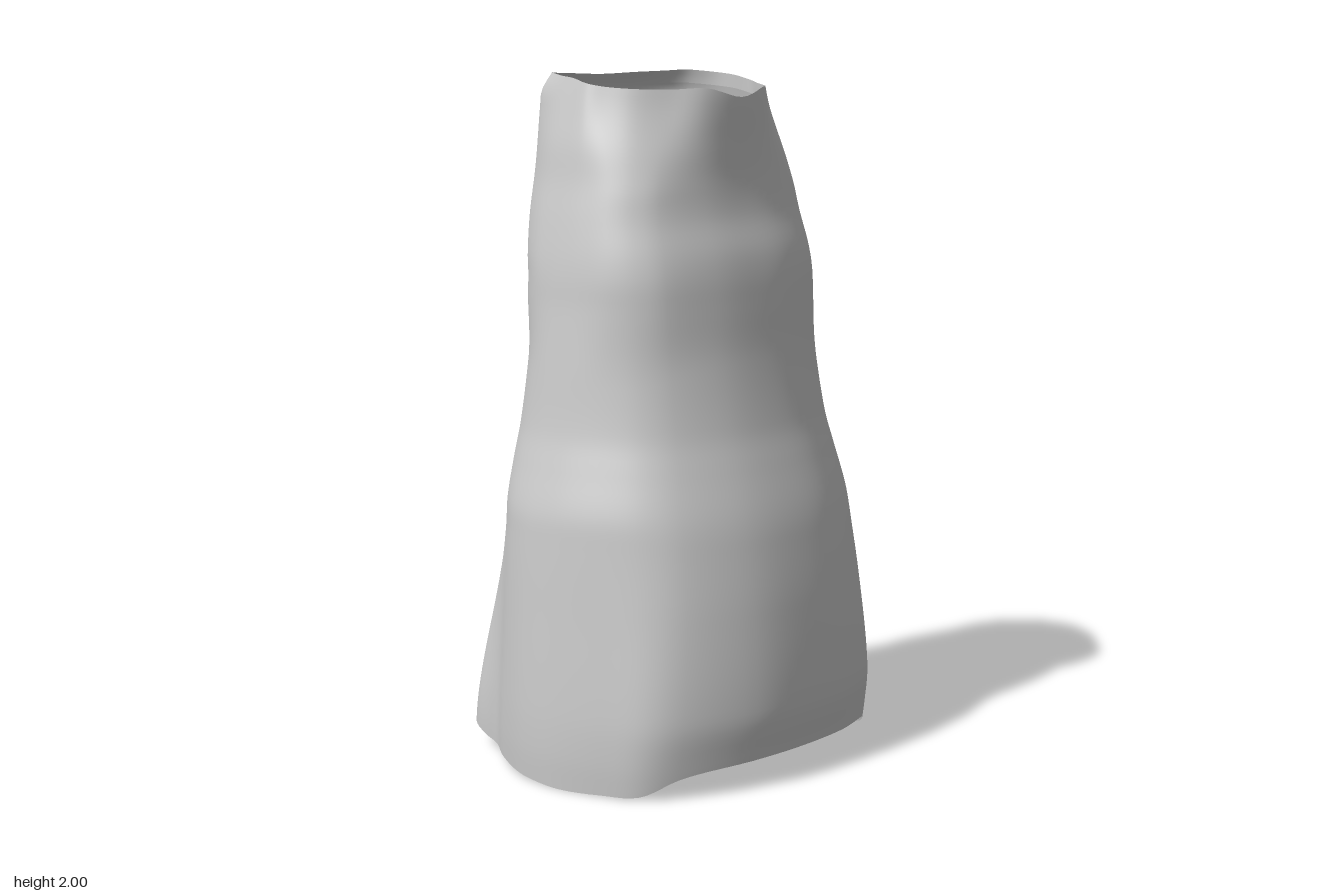
import * as THREE from 'three';

// Body stations: height, half width, front depth, back depth
const STATIONS = [
  [0, 0.572, 0.51, 0.55], [0.1, 0.578, 0.525, 0.537], [0.22, 0.578, 0.54, 0.512],
  [0.5, 0.566, 0.52, 0.445], [0.7, 0.556, 0.49, 0.402], [0.78, 0.549, 0.472, 0.398],
  [0.9, 0.52, 0.435, 0.387], [1.0, 0.497, 0.405, 0.37], [1.2, 0.475, 0.367, 0.338],
  [1.35, 0.46, 0.35, 0.325], [1.43, 0.455, 0.34, 0.308], [1.5, 0.447, 0.325, 0.314],
  [1.6, 0.43, 0.292, 0.32], [1.7, 0.41, 0.276, 0.316], [1.8, 0.395, 0.275, 0.303],
  [1.9, 0.372, 0.28, 0.298], [1.95, 0.36, 0.28, 0.294], [2, 0.348, 0.272, 0.25],
];

// Half outlines from front centre to back centre: x and z as shares of the station, edge height
const HEM = [
  [0, 1, 0.085], [0.35, 0.97, 0.083], [0.72, 0.81, 0.06], [0.87, 0.67, 0.012], [0.95, 0.45, 0.004],
  [1, 0.19, 0], [1, 0, 0.005], [0.97, -0.15, 0.01], [0.87, -0.37, 0.02], [0.775, -0.52, 0.03],
  [0.76, -0.62, 0.045], [0.71, -0.75, 0.068], [0.45, -0.91, 0.1], [0, -1, 0.11],
];
const WAIST = [
  [0, 1], [0.34, 0.96], [0.66, 0.81], [0.81, 0.66], [0.92, 0.45], [0.99, 0.2], [1, 0],
  [0.985, -0.15], [0.925, -0.36], [0.83, -0.54], [0.73, -0.67], [0.58, -0.81], [0.34, -0.94], [0, -1],
];
const BUST = [
  [0, 1], [0.35, 0.97], [0.7, 0.83], [0.84, 0.68], [0.94, 0.47], [0.99, 0.2], [1, 0],
  [0.99, -0.15], [0.96, -0.36], [0.89, -0.55], [0.81, -0.69], [0.68, -0.82], [0.4, -0.95], [0, -1],
];
const RIM = [
  [0, 1, 1.932], [0.34, 0.92, 1.958], [0.57, 0.7, 1.955], [0.8, 0.46, 1.957], [0.93, 0.22, 1.963],
  [0.99, 0.08, 1.97], [1, 0, 1.975], [0.99, -0.15, 1.985], [0.97, -0.38, 1.992], [0.91, -0.58, 1.997],
  [0.83, -0.74, 2], [0.68, -0.88, 1.997], [0.4, -0.98, 1.994], [0, -1, 1.99],
];
const COLUMNS = 128;
const { lerp, smoothstep, clamp } = THREE.MathUtils;

// Mirrored, smooth closed outline
function outline(half) {
  const right = half.map(([x, z, y = 0]) => new THREE.Vector3(x, y, z));
  const left = right.slice(1, -1).reverse().map((p) => new THREE.Vector3(-p.x, p.y, p.z));
  const curve = new THREE.CatmullRomCurve3([...right, ...left], true, 'centripetal');
  return Array.from({ length: COLUMNS }, (_, i) => curve.getPoint(i / COLUMNS));
}

// Smooth (cubic) blend between neighbouring stations
function stationAt(y) {
  const last = STATIONS.length - 1;
  let i = 0;
  while (i < last - 1 && y > STATIONS[i + 1][0]) i++;
  const a = STATIONS[i], b = STATIONS[i + 1];
  const step = b[0] - a[0], t = clamp((y - a[0]) / step, 0, 1);
  const slope = (j, k) => {
    const p = STATIONS[Math.max(j - 1, 0)], q = STATIONS[Math.min(j + 1, last)];
    return (q[k] - p[k]) / (q[0] - p[0]);
  };
  const s = t * t * (3 - 2 * t);
  return [1, 2, 3].map((k) => lerp(a[k], b[k], s)
    + step * t * (1 - t) * ((1 - t) * slope(i, k) - t * slope(i + 1, k)));
}

const hem = outline(HEM), waist = outline(WAIST), bust = outline(BUST), rim = outline(RIM);

// Point on the cloth at column c and height share v, moved inward by inset
function clothPoint(c, v, inset) {
  const y = lerp(Math.max(hem[c].y, 0), Math.min(rim[c].y, 2), v);
  const [w, front, back] = stationAt(y);
  const toWaist = smoothstep(v, 0.02, 0.4);
  const toBust = smoothstep(v, 0.58, 0.74);
  const toRim = smoothstep(v, 0.84, 1);
  const mix = (k) => lerp(lerp(lerp(hem[c][k], waist[c][k], toWaist), bust[c][k], toBust), rim[c][k], toRim);
  const sz = mix('z');
  const x = mix('x') * (w - inset);
  let z = sz * ((sz > 0 ? front : back) - inset);
  // Narrow closing fold down the upper back
  if (sz < 0) {
    const fold = smoothstep(y, 1.34, 1.42) * (1 - smoothstep(y, 1.45, 1.76));
    z += 0.045 * fold * Math.exp(-((x / 0.025) ** 2));
  }
  return [x, y, z];
}

// Loft a band of cloth between two height shares
function clothBand(v0, v1, rows, insetAt) {
  const positions = [], index = [];
  for (let r = 0; r <= rows; r++) {
    const v = lerp(v0, v1, r / rows);
    for (let c = 0; c < COLUMNS; c++) positions.push(...clothPoint(c, v, insetAt(v)));
  }
  for (let r = 0; r < rows; r++) {
    for (let c = 0; c < COLUMNS; c++) {
      const n = (c + 1) % COLUMNS;
      const a = r * COLUMNS + c, b = r * COLUMNS + n;
      index.push(a, b, b + COLUMNS, a, b + COLUMNS, a + COLUMNS);
    }
  }
  const geometry = new THREE.BufferGeometry();
  geometry.setAttribute('position', new THREE.Float32BufferAttribute(positions, 3));
  geometry.setIndex(index);
  geometry.computeVertexNormals();
  return geometry;
}

export function createModel() {
  const cloth = new THREE.MeshStandardMaterial({ color: 0xcccccc, side: THREE.DoubleSide });
  cloth.name = 'lightGreyCloth';
  const group = new THREE.Group();
  group.name = 'straplessDress';

  const add = (name, geometry) => {
    const mesh = new THREE.Mesh(geometry, cloth);
    mesh.name = name;
    group.add(mesh);
  };

  // Outer dress, then the folded edges inside the neckline and hem
  add('dressBody', clothBand(0, 1, 90, () => 0));
  add('necklineFacing', clothBand(0.98, 1, 3, (v) => (1 - v) * 0.4));
  add('hemFacing', clothBand(0, 0.012, 3, (v) => v * 0.6));
  return group;
}
